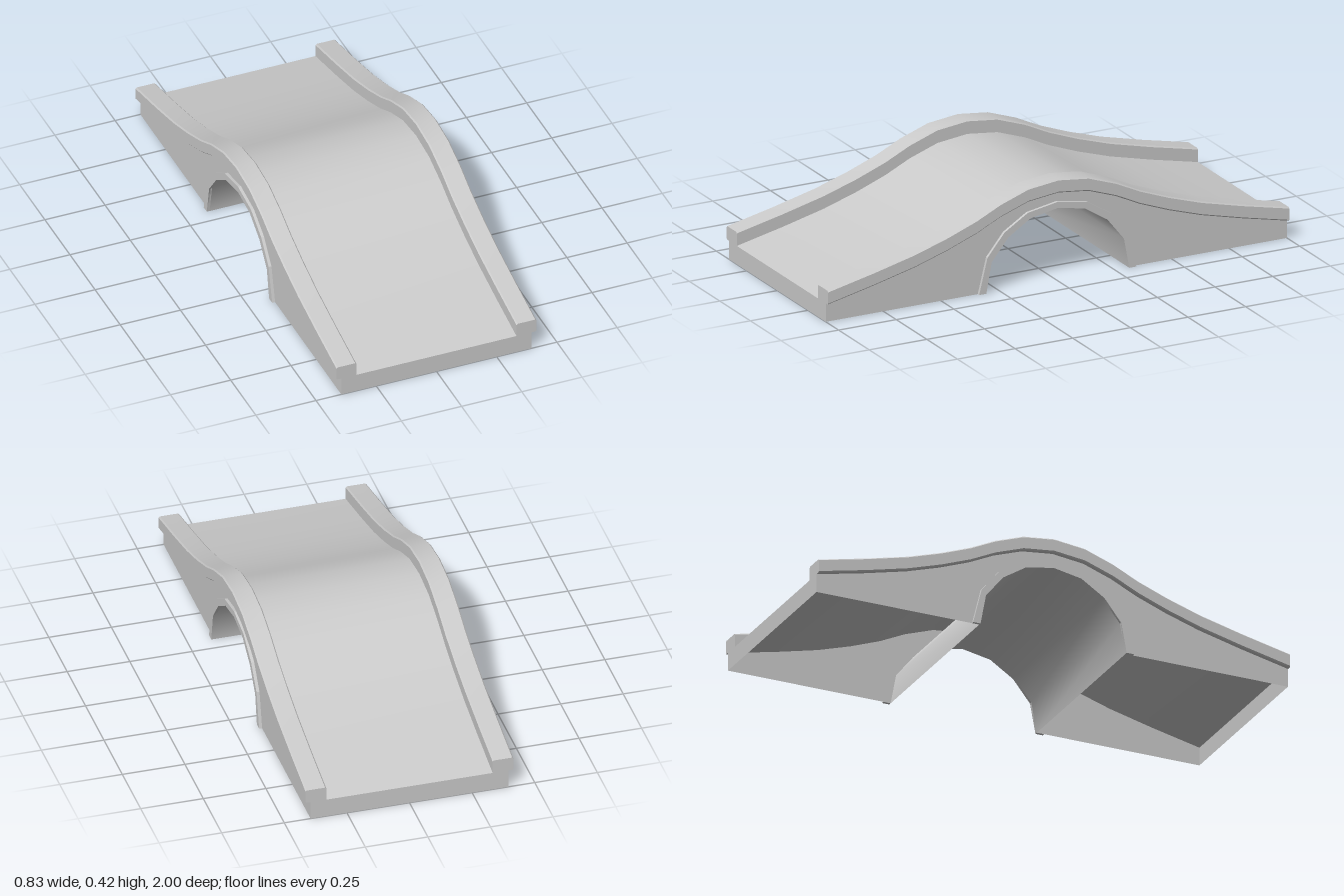
import * as THREE from 'three';
import { mergeGeometries } from 'three/addons/utils/BufferGeometryUtils.js';

const material = new THREE.MeshStandardMaterial({ color: 0xcccccc, side: THREE.DoubleSide });

// Mirror half a [z, y] profile, crown first, into a full path from front to back
const fullPath = (half) => [...half].reverse().concat(half.slice(1).map(([z, y]) => [-z, y]));

const deckPath = fullPath([[0, 0.361], [0.13, 0.346], [0.25, 0.304], [0.355, 0.254], [0.48, 0.207],
  [0.62, 0.163], [0.8, 0.119], [1, 0.075]]);
const archInner = fullPath([[0, 0.297], [0.118, 0.275], [0.215, 0.213], [0.287, 0.123], [0.31, 0]]);
const archOuter = fullPath([[0, 0.322], [0.13, 0.299], [0.231, 0.236], [0.305, 0.145], [0.341, 0]]);

const WALL_X = 0.395, TRIM_X = 0.407;

// Smooth strip swept along a path between two [x, dy] section points
function ribbon(path, a, b) {
  const pos = [], index = [];
  path.forEach(([z, y], i) => {
    pos.push(a[0], y + a[1], z, b[0], y + b[1], z);
    if (i) {
      const k = 2 * i - 2;
      index.push(k, k + 2, k + 1, k + 1, k + 2, k + 3);
    }
  });
  const geometry = new THREE.BufferGeometry();
  geometry.setAttribute('position', new THREE.Float32BufferAttribute(pos, 3));
  geometry.setIndex(index);
  geometry.computeVertexNormals();
  return geometry;
}

const toShape = (points) => new THREE.Shape(points.map(([x, y]) => new THREE.Vector2(x, y)));
const mirrored = (section) => section.map(([x, y]) => [-x, y]).reverse();

// Chamfered railing section, counterclockwise, relative to the deck height
const railSection = [[0.332, 0], [0.41, 0], [0.415, 0.005], [0.415, 0.051], [0.41, 0.056],
  [0.337, 0.056], [0.332, 0.051]];

function railGeometry(section) {
  const strips = section.map((p, i) => ribbon(deckPath, p, section[(i + 1) % section.length]));
  const endY = deckPath[0][1];
  const frontCap = new THREE.ShapeGeometry(toShape(section)).translate(0, endY, 1);
  const backCap = new THREE.ShapeGeometry(toShape(mirrored(section))).rotateY(Math.PI).translate(0, endY, -1);
  for (const cap of [frontCap, backCap]) cap.deleteAttribute('uv');
  return mergeGeometries([...strips, frontCap, backCap]);
}

export function createModel() {
  const bridge = new THREE.Group();
  bridge.name = 'archBridge';
  const add = (name, geometry) => {
    const mesh = new THREE.Mesh(geometry, material);
    mesh.name = name;
    bridge.add(mesh);
    return mesh;
  };

  // Curved roadway and the barrel vault beneath it; the underside is open
  add('deck', ribbon(deckPath, [WALL_X, 0], [-WALL_X, 0]));
  add('archVault', ribbon(archInner, [-TRIM_X, 0], [TRIM_X, 0]));

  // Side wall: deck profile with the arch cut out of its bottom edge
  const wallShape = toShape([...deckPath, [-1, 0], ...[...archInner].reverse(), [1, 0]]);
  // Raised band around the arch mouth
  const trimShape = toShape([...archOuter, ...[...archInner].reverse()]);

  for (const side of [1, -1]) {
    const label = side > 0 ? 'left' : 'right';
    const turn = side * Math.PI / 2;
    add(label + 'Wall', new THREE.ShapeGeometry(wallShape).rotateY(turn).translate(side * WALL_X, 0, 0));
    add(label + 'ArchTrim', new THREE.ExtrudeGeometry(trimShape, { depth: TRIM_X - WALL_X, bevelEnabled: false })
      .rotateY(turn).translate(side * WALL_X, 0, 0));
    add(label + 'Railing', railGeometry(side > 0 ? railSection : mirrored(railSection)));

    // Low upright face closing each end of the ramp
    const endWall = add(side > 0 ? 'frontEndWall' : 'backEndWall', new THREE.PlaneGeometry(2 * WALL_X, 0.075));
    endWall.position.set(0, 0.0375, side);
    if (side < 0) endWall.rotation.y = Math.PI;
  }
  return bridge;
}
